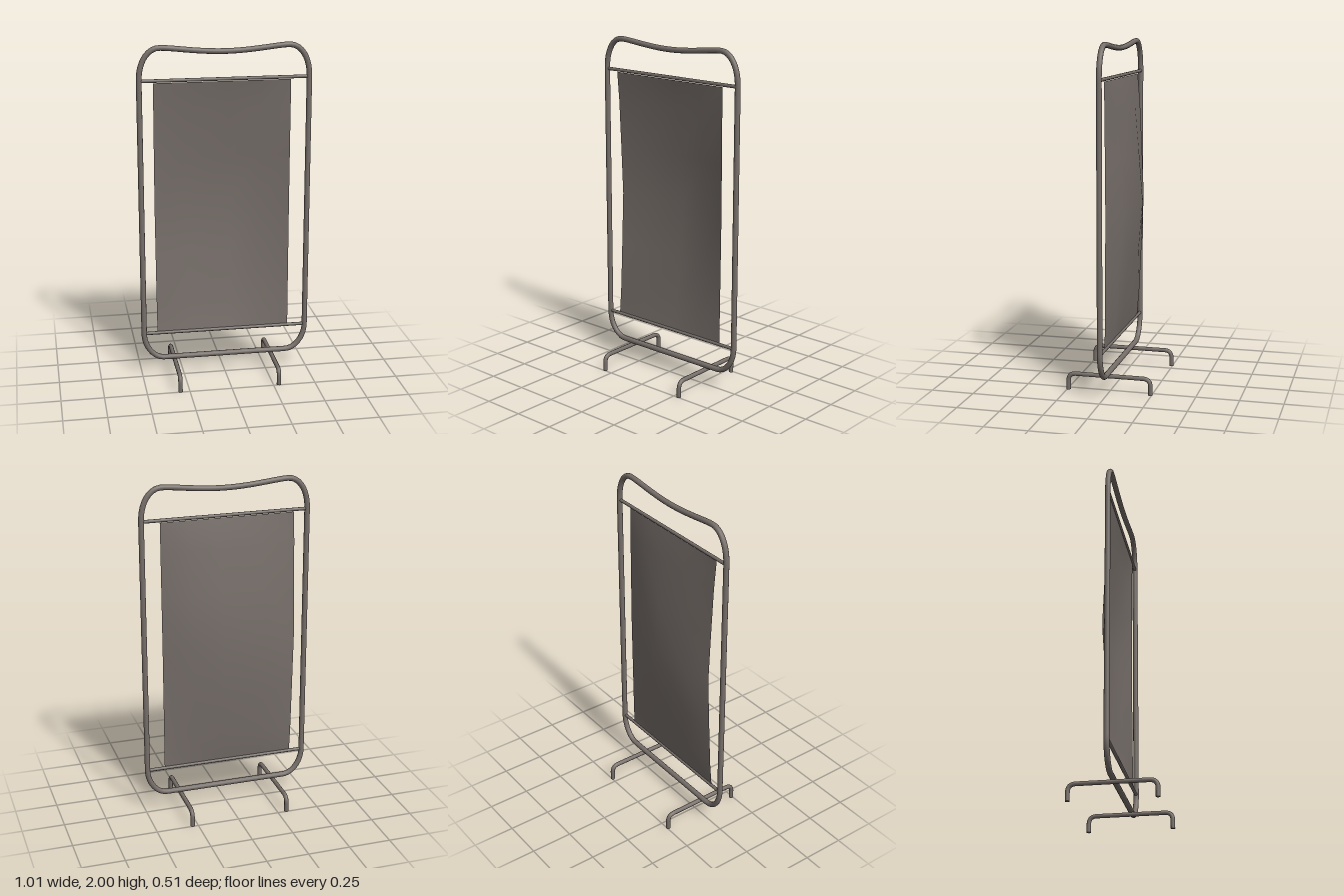
import * as THREE from 'three';

const v = (x, y, z = 0) => new THREE.Vector3(x, y, z);

export function createModel() {
  const group = new THREE.Group();
  const metal = new THREE.MeshStandardMaterial({ color: 0x766e69 });
  metal.name = 'warm grey metal';
  const cloth = new THREE.MeshStandardMaterial({ color: 0x766e69, side: THREE.DoubleSide });
  cloth.name = 'warm grey cloth';

  const add = (name, geometry, material = metal) => {
    const mesh = new THREE.Mesh(geometry, material);
    mesh.name = name;
    group.add(mesh);
    return mesh;
  };

  // Closed tubular frame with rounded corners and a dipped top
  const W = 0.488, X = 0.37, TOP = 1.983, LOW = 0.12, T = 1.8, B = 0.28;
  const path = new THREE.CurvePath();
  const line = (a, b) => path.add(new THREE.LineCurve3(a, b));
  const bend = (a, b, c, d) => path.add(new THREE.CubicBezierCurve3(a, b, c, d));
  line(v(W, B), v(W, T));
  bend(v(W, T), v(W, 1.91), v(0.435, TOP), v(X, TOP));
  bend(v(X, TOP), v(0.3, TOP), v(0.16, 1.955), v(0, 1.955));
  bend(v(0, 1.955), v(-0.16, 1.955), v(-0.3, TOP), v(-X, TOP));
  bend(v(-X, TOP), v(-0.435, TOP), v(-W, 1.91), v(-W, T));
  line(v(-W, T), v(-W, B));
  bend(v(-W, B), v(-W, 0.19), v(-0.43, LOW), v(-X, LOW));
  line(v(-X, LOW), v(X, LOW));
  bend(v(X, LOW), v(0.43, LOW), v(W, 0.19), v(W, B));
  add('frame', new THREE.TubeGeometry(path, 220, 0.016, 12, true));

  // Cross rods that hold the cloth
  for (const [name, y] of [['topRod', 1.798], ['bottomRod', 0.278]]) {
    const rod = add(name, new THREE.CylinderGeometry(0.01, 0.01, 2 * W, 10));
    rod.rotation.z = Math.PI / 2;
    rod.position.y = y;
  }

  // Cloth panel: billows backwards, further on its right side
  const xs = [-0.408, -0.22, 0.03, 0.21, 0.382];
  const depth = [0.04, 0.077, 0.082, 0.066, 0.006];
  const ys = [0.285, 0.45, 0.72, 1.04, 1.34, 1.62, 1.785];
  const swell = [0, 0.34, 0.66, 1, 0.69, 0.36, 0];
  const panel = new THREE.PlaneGeometry(1, 1, xs.length - 1, ys.length - 1);
  const p = panel.attributes.position;
  for (let i = 0; i < p.count; i++) {
    const c = i % xs.length;
    const r = ys.length - 1 - Math.floor(i / xs.length);
    p.setXYZ(i, xs[c], ys[r], -depth[c] * swell[r]);
  }
  panel.computeVertexNormals();
  add('clothPanel', panel, cloth);

  // Bent tube feet running front to back
  const H = 0.095, Z = 0.243, R = 0.045;
  for (const [name, x] of [['rightFoot', -0.305], ['leftFoot', 0.283]]) {
    const foot = new THREE.CurvePath();
    foot.add(new THREE.LineCurve3(v(x, 0, Z), v(x, H - R, Z)));
    foot.add(new THREE.QuadraticBezierCurve3(v(x, H - R, Z), v(x, H, Z), v(x, H, Z - R)));
    foot.add(new THREE.LineCurve3(v(x, H, Z - R), v(x, H, R - Z)));
    foot.add(new THREE.QuadraticBezierCurve3(v(x, H, R - Z), v(x, H, -Z), v(x, H - R, -Z)));
    foot.add(new THREE.LineCurve3(v(x, H - R, -Z), v(x, 0, -Z)));
    add(name, new THREE.TubeGeometry(foot, 72, 0.013, 10, false));
    for (const z of [Z, -Z]) {
      const cap = add(name + 'Cap', new THREE.CircleGeometry(0.013, 10));
      cap.rotation.x = Math.PI / 2;
      cap.position.set(x, 0, z);
    }
  }

  return group;
}
